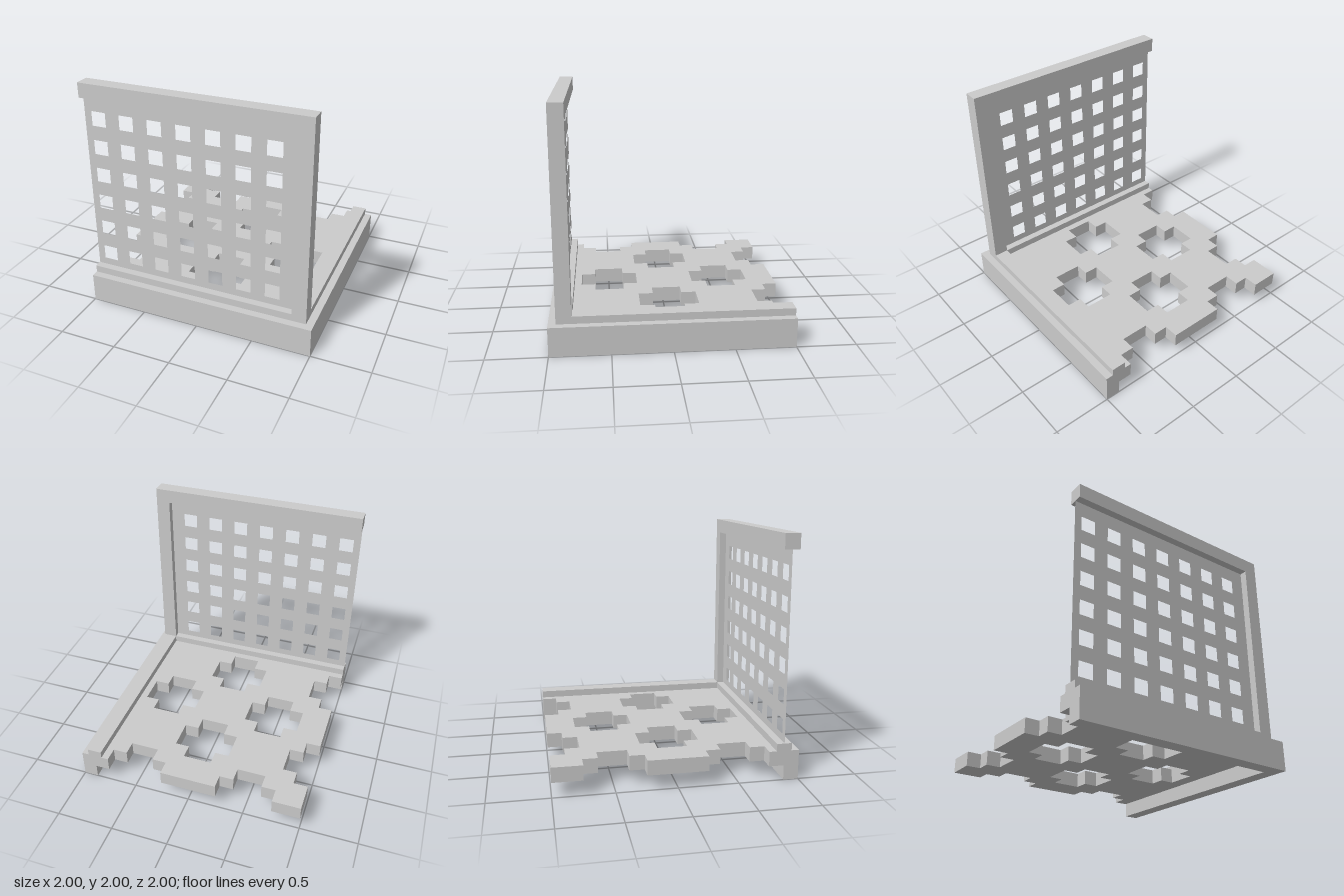
import * as THREE from 'three';

const material = new THREE.MeshStandardMaterial({ color: 0xcccccc, flatShading: true });
const sheetMaterial = new THREE.MeshStandardMaterial({ color: 0xcccccc, flatShading: true, side: THREE.DoubleSide });

const U = 0.125; // grid step

const toPoints = (list) => list.map(([x, y]) => new THREE.Vector2(x, y));

// Stepped half cross, walked along its mouth (s) and into the depth (d)
const STEPS = [[-2, 0], [-2, 1], [-1, 1], [-1, 2], [1, 2], [1, 1], [2, 1], [2, 0]].map(([s, d]) => [s * U, d * U]);

function extrude(name, shape, depth) {
  const geometry = new THREE.ExtrudeGeometry(shape, { depth, bevelEnabled: false });
  const mesh = new THREE.Mesh(geometry, material);
  mesh.name = name;
  return mesh;
}

// Plan outline given as (x, -z), raised from y0 to y1
function plate(name, shape, y0, y1) {
  const mesh = extrude(name, shape, y1 - y0);
  mesh.geometry.rotateX(-Math.PI / 2);
  mesh.position.y = y0;
  return mesh;
}

function box(name, [x0, x1], [y0, y1], [z0, z1]) {
  const mesh = new THREE.Mesh(new THREE.BoxGeometry(x1 - x0, y1 - y0, z1 - z0), material);
  mesh.name = name;
  mesh.position.set((x0 + x1) / 2, (y0 + y1) / 2, (z0 + z1) / 2);
  return mesh;
}

function floorShape() {
  const outline = [[-1, -0.875], [0.875, -0.875], [0.875, 1]];
  // half-cross notches along the back edge, then down the open side
  for (const c of [0.5, -0.5]) for (const [s, d] of STEPS) outline.push([c - s, 1 - d]);
  outline.push([-1, 1]);
  for (const c of [0.5, -0.5]) for (const [s, d] of STEPS) outline.push([-1 + d, c - s]);
  const shape = new THREE.Shape(toPoints(outline));

  // four full cross openings
  const upper = STEPS.slice(1, 7);
  const cross = [...upper, ...upper.map(([x, y]) => [-x, -y])];
  for (const [cx, cy] of [[0, 0.5], [0, -0.5], [0.5, 0], [-0.5, 0]]) {
    shape.holes.push(new THREE.Path(toPoints(cross.map(([x, y]) => [cx + x, cy + y]))));
  }
  return shape;
}

function latticePanel() {
  const shape = new THREE.Shape(toPoints([[-1, 0.3125], [0.8125, 0.3125], [0.8125, 1.875], [-1, 1.875]]));
  for (let col = 0; col < 7; col++) {
    for (let row = 0; row < 6; row++) {
      const x = -0.9375 + col * 2 * U;
      const y = 0.375 + row * 2 * U;
      shape.holes.push(new THREE.Path(toPoints([[x, y], [x, y + U], [x + U, y + U], [x + U, y]])));
    }
  }
  const mesh = new THREE.Mesh(new THREE.ShapeGeometry(shape), sheetMaterial);
  mesh.name = 'latticePanel';
  mesh.position.z = 0.875;
  return mesh;
}

export function createModel() {
  const model = new THREE.Group();
  model.name = 'cornerEnclosure';

  // floor slab with cross openings
  model.add(plate('floor', floorShape(), 0.125, 0.25));

  // L-shaped base beam around the front and the side
  const beam = new THREE.Shape(toPoints([[-1, -1], [1, -1], [1, 1], [0.875, 1], [0.875, -0.875], [-1, -0.875]]));
  model.add(plate('baseBeam', beam, 0, 0.25));

  // low curb along the side
  model.add(box('sideCurb', [0.8125, 0.9375], [0.25, 0.3125], [-1, 0.8125]));

  // front frame: bottom curb, corner post and top rail
  const frame = new THREE.Shape(toPoints([
    [-1, 0.25], [0.9375, 0.25], [0.9375, 2], [-1, 2],
    [-1, 1.875], [0.8125, 1.875], [0.8125, 0.3125], [-1, 0.3125],
  ]));
  const frontFrame = extrude('frontFrame', frame, 0.125);
  frontFrame.position.z = 0.8125;
  model.add(frontFrame);

  // thin pierced sheet in the middle of the frame
  model.add(latticePanel());

  return model;
}
